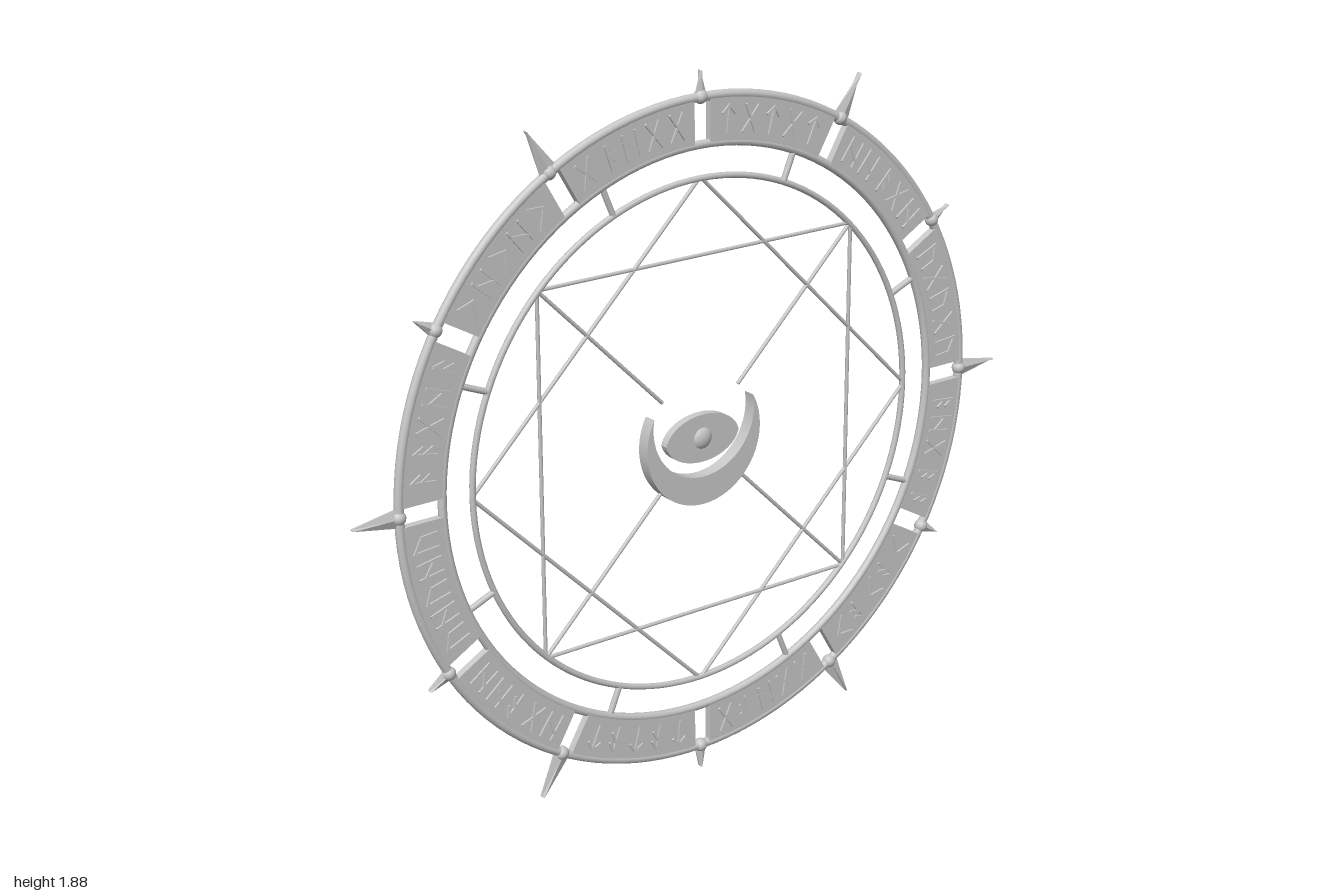
import * as THREE from 'three';

const steel = new THREE.MeshStandardMaterial({ color: 0xc8c8c8 });
steel.name = 'light grey steel';

function add(parent, name, geometry) {
  const mesh = new THREE.Mesh(geometry, steel);
  mesh.name = name;
  parent.add(mesh);
  return mesh;
}

// Flat plate centred on z = 0
function plate(shape, depth, curveSegments = 24) {
  const g = new THREE.ExtrudeGeometry(shape, { depth, curveSegments, bevelEnabled: false });
  return g.translate(0, 0, -depth / 2);
}

const polar = (r, a) => new THREE.Vector2(r * Math.cos(a), r * Math.sin(a));

// Thin straight rod between two points in the disc plane
function rod(parent, name, a, b, radius) {
  const g = new THREE.CylinderGeometry(radius, radius, a.distanceTo(b), 8);
  const mesh = add(parent, name, g);
  mesh.position.set((a.x + b.x) / 2, (a.y + b.y) / 2, 0);
  mesh.rotation.z = Math.atan2(b.y - a.y, b.x - a.x) - Math.PI / 2;
}

// Ridged blade along +x: width tapers to the tip, ridge height stays constant
function bladeGeometry(start, tip, halfWidth) {
  const g = new THREE.CylinderGeometry(1, 1, tip - start, 4).toNonIndexed();
  const p = g.attributes.position;
  for (let i = 0; i < p.count; i++) {
    const taper = p.getY(i) > 0 ? 0.06 : 1;
    p.setX(i, p.getX(i) * halfWidth * taper);
    p.setZ(i, p.getZ(i) * 0.009);
  }
  g.computeVertexNormals();
  return g.rotateZ(-Math.PI / 2).translate((start + tip) / 2, 0, 0);
}

// Abstract angular marks: each is a list of strokes [x1, y1, x2, y2] in a unit cell
const MARKS = [
  [[-1, -1, -1, 1], [-1, 1, 1, 0.3], [1, 0.3, 1, -1]],
  [[0, -1, 0, 1], [0, 1, 1, 0.3], [0, 0.2, 1, -0.5]],
  [[-1, -1, 1, 0.2], [1, 0.2, -1, 1]],
  [[-1, -1, 1, 1], [-1, 1, 1, -1]],
  [[0, -1, 0, 1], [-1, 0.4, 0, 1], [0, 1, 1, 0.4]],
  [[-1, -1, -1, 1], [1, -1, 1, 1], [-1, 0.5, 1, -0.5]],
];

export function createModel() {
  const model = new THREE.Group();
  model.name = 'spikedDisc';
  const disc = new THREE.Group();
  disc.name = 'disc';
  disc.position.y = 0.94;
  model.add(disc);

  // Raised rims of the band, and the inner hoop
  add(disc, 'outerRim', new THREE.TorusGeometry(0.875, 0.012, 10, 128));
  add(disc, 'innerRim', new THREE.TorusGeometry(0.758, 0.011, 10, 128));
  add(disc, 'innerHoop', new THREE.TorusGeometry(0.674, 0.008, 8, 128));

  // Twelve band segments with parallel-sided gaps, and raised marks on both faces
  const rIn = 0.758, rOut = 0.875, halfGap = 0.024;
  const aIn = Math.asin(halfGap / rIn), aOut = Math.asin(halfGap / rOut);
  const step = Math.PI / 6;
  const segment = new THREE.Shape();
  segment.absarc(0, 0, rOut, aOut, step - aOut, false);
  segment.absarc(0, 0, rIn, step - aIn, aIn, true);
  const segmentGeo = plate(segment, 0.02);

  for (let i = 0; i < 12; i++) {
    const section = new THREE.Group();
    section.name = 'bandSection';
    section.rotation.z = i * step;
    disc.add(section);
    add(section, 'bandSegment', segmentGeo);
    for (const side of [1, -1]) {
      for (let k = 0; k < 5; k++) {
        const angle = step * (0.18 + 0.16 * k);
        const mark = new THREE.Group();
        mark.name = 'raisedMark';
        const p = polar(0.817, angle);
        mark.position.set(p.x, p.y, side * 0.0115);
        mark.rotation.z = angle - Math.PI / 2;
        section.add(mark);
        const index = (i * 5 + k * 3 + (i * k) % 4 + (side < 0 ? 2 : 0)) % MARKS.length;
        for (const [x1, y1, x2, y2] of MARKS[index]) {
          const dx = (x2 - x1) * 0.019 * side, dy = (y2 - y1) * 0.033;
          const stroke = add(mark, 'stroke',
            new THREE.BoxGeometry(Math.hypot(dx, dy) + 0.004, 0.006, 0.007));
          stroke.position.set((x1 + x2) * 0.0095 * side, (y1 + y2) * 0.0165, 0);
          stroke.rotation.z = Math.atan2(dy, dx);
        }
      }
    }
  }

  // Twelve spikes, alternately long and short, each with a stud at its foot
  for (let i = 0; i < 12; i++) {
    const long = i % 2 === 0;
    const spike = new THREE.Group();
    spike.name = 'spike';
    spike.rotation.z = i * step;
    disc.add(spike);
    add(spike, 'spikeBlade', bladeGeometry(0.872, long ? 1 : 0.94, long ? 0.027 : 0.02));
    add(spike, 'stud', new THREE.SphereGeometry(0.018, 16, 12)).position.x = 0.876;
  }

  // Eight short struts joining hoop and inner rim
  for (let i = 0; i < 8; i++) {
    const a = (i + 0.5) * Math.PI / 4;
    rod(disc, 'strut', polar(0.674, a), polar(0.756, a), 0.008);
  }

  // Two crossed squares and four radial rods
  for (let i = 0; i < 4; i++) {
    const a = i * Math.PI / 2, q = Math.PI / 4;
    rod(disc, 'diamondBar', polar(0.678, a), polar(0.678, a + 2 * q), 0.005);
    rod(disc, 'squareBar', polar(0.678, a + q), polar(0.678, a + 3 * q), 0.005);
    rod(disc, 'radialRod', polar(0.678, a + q), polar(0.167, a + q), 0.005);
  }

  // Crescent cradling the eye
  const horn = Math.atan2(0.085, 0.155);
  const cy = 0.056, inner = Math.hypot(0.155, 0.085 - cy);
  const innerHorn = Math.atan2(0.085 - cy, 0.155);
  const crescent = new THREE.Shape();
  crescent.absarc(0, 0, Math.hypot(0.155, 0.085), Math.PI - horn, 2 * Math.PI + horn, false);
  crescent.absarc(0, cy, inner, innerHorn, Math.PI - innerHorn, true);
  add(disc, 'crescent', plate(crescent, 0.036, 48));

  // Almond eye with a domed pupil on both sides
  const eye = new THREE.Shape();
  eye.moveTo(-0.114, 0);
  eye.bezierCurveTo(-0.09, 0.085, 0.09, 0.085, 0.114, 0);
  eye.bezierCurveTo(0.09, -0.085, -0.09, -0.085, -0.114, 0);
  add(disc, 'eye', plate(eye, 0.022));
  add(disc, 'pupil', new THREE.SphereGeometry(0.033, 24, 16)).scale.z = 0.65;

  return model;
}
